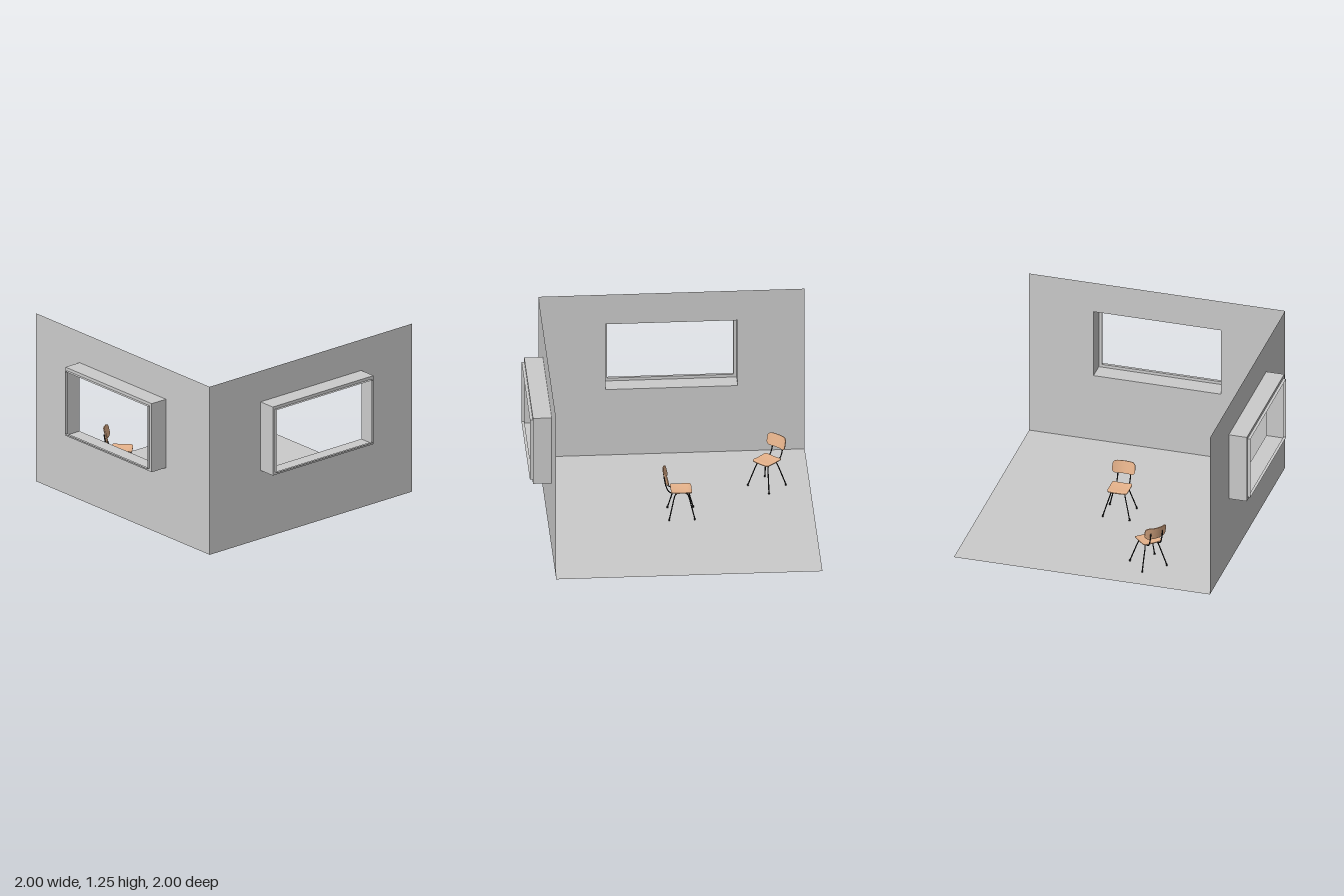
import * as THREE from 'three';

const grey = new THREE.MeshStandardMaterial({ color: 0xcccccc, side: THREE.DoubleSide });
const wood = new THREE.MeshStandardMaterial({ color: 0xe8b48c });
const metal = new THREE.MeshStandardMaterial({ color: 0x1c1c1c });

const SIZE = 1.85, HEIGHT = 1.25;
const WIN_Y = 0.765, WIN_W = 0.92, WIN_H = 0.51, INSET = 0.022;

function add(parent, name, geometry, material) {
  const mesh = new THREE.Mesh(geometry, material);
  mesh.name = name;
  parent.add(mesh);
  return mesh;
}

// Rectangle outline centred on (0, cy)
function rect(Type, w, h, cy) {
  return new Type([[-1, -1], [1, -1], [1, 1], [-1, 1]].map(
    ([x, y]) => new THREE.Vector2(x * w / 2, cy + y * h / 2)));
}

// Flat sheet with a rectangular hole
function sheetWithHole(w, h, cy, hw, hh, hy) {
  const shape = rect(THREE.Shape, w, h, cy);
  shape.holes.push(rect(THREE.Path, hw, hh, hy));
  return new THREE.ShapeGeometry(shape);
}

// Four thin sides of an open rectangular sleeve running from z0 to z1
function addSleeve(parent, name, w, h, z0, z1) {
  const sleeve = new THREE.Group();
  sleeve.name = name;
  for (const s of [-1, 1]) {
    const side = add(sleeve, 'jamb', new THREE.PlaneGeometry(z1 - z0, h), grey);
    side.rotation.y = s * Math.PI / 2;
    side.position.set(s * w / 2, WIN_Y, (z0 + z1) / 2);
    const flat = add(sleeve, s > 0 ? 'head' : 'sill', new THREE.PlaneGeometry(w, z1 - z0), grey);
    flat.rotation.x = -s * Math.PI / 2;
    flat.position.set(0, WIN_Y + s * h / 2, (z0 + z1) / 2);
  }
  parent.add(sleeve);
}

// Thin wall with a projecting, stepped window box
function createWall(name) {
  const wall = new THREE.Group();
  wall.name = name;
  const z = SIZE / 2, rimZ = z + 0.13, endZ = z + 0.15;
  const iw = WIN_W - 2 * INSET, ih = WIN_H - 2 * INSET;
  add(wall, 'wallPanel', sheetWithHole(SIZE, HEIGHT, HEIGHT / 2, WIN_W, WIN_H, WIN_Y), grey).position.z = z;
  addSleeve(wall, 'windowBox', WIN_W, WIN_H, z, rimZ);
  add(wall, 'windowRim', sheetWithHole(WIN_W, WIN_H, WIN_Y, iw, ih, WIN_Y), grey).position.z = rimZ;
  addSleeve(wall, 'windowFrame', iw, ih, rimZ, endZ);
  return wall;
}

// Rounded plywood panel in the xy plane, bent along z by a rule
function panel(w, h, t, r, bend) {
  const g = new THREE.BoxGeometry(w, h, t, 24, 20, 1);
  const p = g.attributes.position;
  for (let i = 0; i < p.count; i++) {
    let x = p.getX(i), y = p.getY(i);
    const dx = Math.abs(x) - (w / 2 - r), dy = Math.abs(y) - (h / 2 - r);
    if (dx > 0 && dy > 0) {
      const k = Math.max(dx, dy) / Math.hypot(dx, dy);
      x = Math.sign(x) * (w / 2 - r + dx * k);
      y = Math.sign(y) * (h / 2 - r + dy * k);
    }
    p.setXYZ(i, x, y, p.getZ(i) + bend(x / (w / 2), y / (h / 2)));
  }
  g.computeVertexNormals();
  return g;
}

function tube(points, radius) {
  const curve = new THREE.CatmullRomCurve3(points.map(q => new THREE.Vector3(...q)), false, 'centripetal');
  return new THREE.TubeGeometry(curve, 48, radius, 8);
}

// Plywood chair on bent tube legs, facing +z
function createChair(name) {
  const chair = new THREE.Group();
  chair.name = name;

  // Seat dips in the middle and rolls down at the front
  const seat = add(chair, 'seat', panel(0.146, 0.146, 0.006, 0.016,
    (u, v) => 0.004 * u * u + 0.003 * v * v - (v < -0.6 ? 0.03 * (v + 0.6) ** 2 : 0)), wood);
  seat.rotation.x = -Math.PI / 2;
  seat.position.y = 0.194;

  // Backrest wraps forward at both ends
  const back = add(chair, 'backrest', panel(0.165, 0.092, 0.007, 0.028, u => 0.02 * u * u), wood);
  back.rotation.x = -0.2;
  back.position.set(0, 0.301, -0.118);

  for (const s of [-1, 1]) {
    add(chair, 'legArch', tube([
      [s * 0.098, 0.003, 0.09], [s * 0.074, 0.09, 0.068], [s * 0.054, 0.16, 0.05],
      [s * 0.049, 0.178, 0.041], [s * 0.046, 0.186, 0.025], [s * 0.046, 0.186, -0.025],
      [s * 0.049, 0.178, -0.041], [s * 0.054, 0.16, -0.05], [s * 0.074, 0.09, -0.068],
      [s * 0.098, 0.003, -0.09]], 0.0042), metal);
    for (const f of [-1, 1]) {
      const foot = add(chair, 'footCap', new THREE.CylinderGeometry(0.005, 0.006, 0.012, 10), metal);
      foot.position.set(s * 0.097, 0.006, f * 0.089);
    }
    add(chair, 'backSupport', tube([
      [s * 0.044, 0.187, 0.04], [s * 0.044, 0.187, -0.04], [s * 0.045, 0.19, -0.072],
      [s * 0.046, 0.205, -0.092], [s * 0.046, 0.25, -0.11], [s * 0.046, 0.315, -0.122]], 0.0042), metal);
  }

  // Crossbars under the seat
  for (const z of [-0.025, 0.025]) {
    const bar = add(chair, 'crossbar', new THREE.CylinderGeometry(0.004, 0.004, 0.092, 8), metal);
    bar.rotation.z = Math.PI / 2;
    bar.position.set(0, 0.186, z);
  }
  return chair;
}

export function createModel() {
  const model = new THREE.Group();
  model.name = 'roomWithChairs';

  // Floor and two adjoining walls
  const room = new THREE.Group();
  room.name = 'room';
  room.position.set(0.075, 0, -0.075);
  add(room, 'floor', new THREE.PlaneGeometry(SIZE, SIZE), grey).rotation.x = -Math.PI / 2;
  const sideWall = createWall('sideWall');
  sideWall.rotation.y = -Math.PI / 2;
  room.add(createWall('frontWall'), sideWall);
  model.add(room);

  // Two chairs
  const chairA = createChair('centreChair');
  chairA.position.set(0.072, 0, -0.08);
  chairA.rotation.y = Math.PI;
  const chairB = createChair('cornerChair');
  chairB.position.set(-0.318, 0, -0.702);
  chairB.rotation.y = Math.PI / 4;
  model.add(chairA, chairB);
  return model;
}
